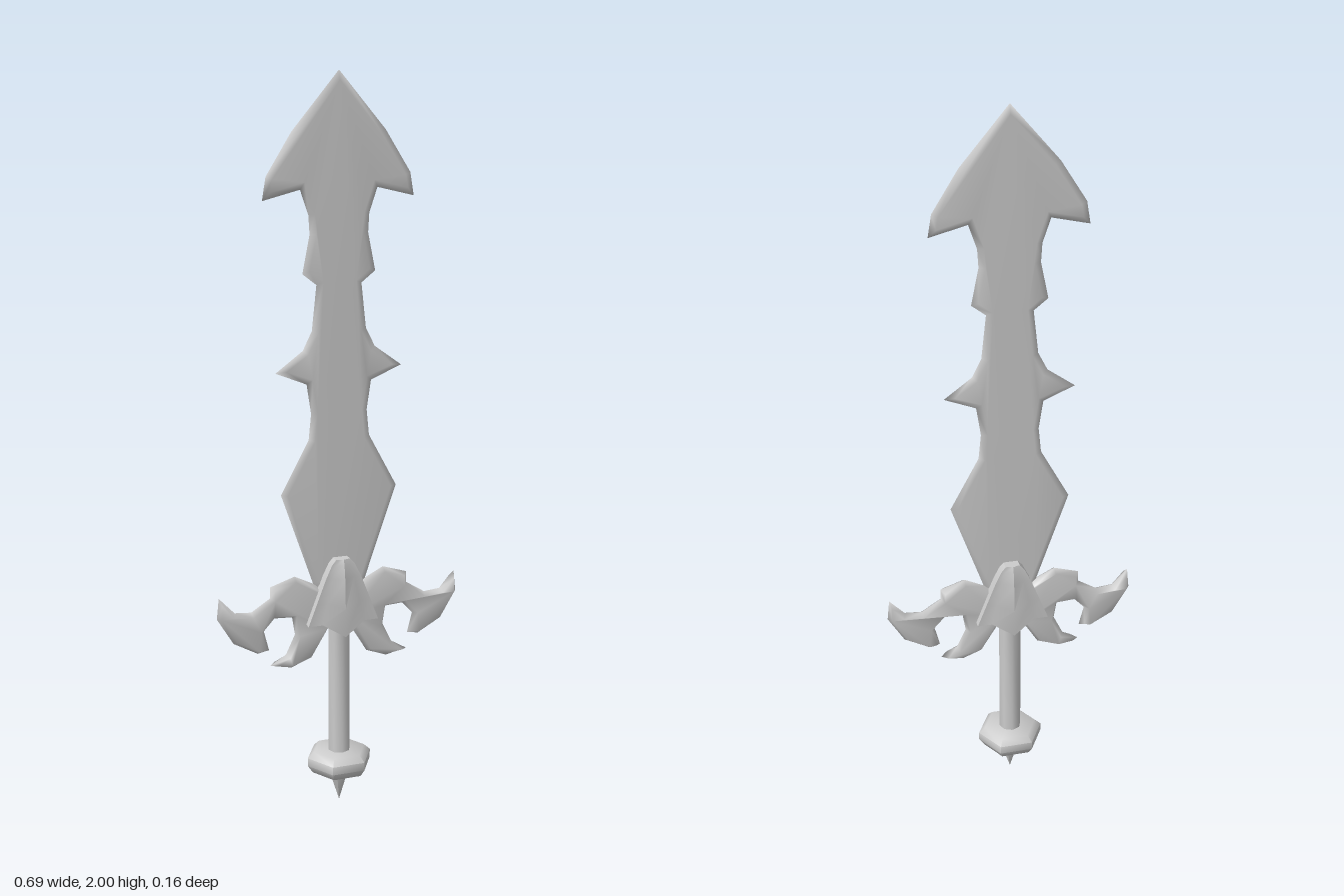
import * as THREE from 'three';
import { toCreasedNormals } from 'three/addons/utils/BufferGeometryUtils.js';

const material = new THREE.MeshStandardMaterial({ color: 0xcccccc, side: THREE.DoubleSide });

function addMesh(parent, name, geometry) {
  const mesh = new THREE.Mesh(geometry, material);
  mesh.name = name;
  parent.add(mesh);
  return mesh;
}

function indexed(positions, index) {
  const g = new THREE.BufferGeometry();
  g.setAttribute('position', new THREE.Float32BufferAttribute(positions, 3));
  g.setIndex(index);
  g.computeVertexNormals();
  return g;
}

// Flat plate with a sharp rim at z = 0 and inset faces at z = +-half
function bevelPlate(outline, inset, half) {
  const pts = outline.map(([x, y]) => new THREE.Vector2(x, y));
  if (THREE.ShapeUtils.isClockWise(pts)) pts.reverse();
  const n = pts.length;
  const inner = pts.map((p, i) => {
    const a = p.clone().sub(pts[(i + n - 1) % n]).normalize();
    const b = pts[(i + 1) % n].clone().sub(p).normalize();
    const normal = new THREE.Vector2(-a.y - b.y, a.x + b.x).normalize();
    const miter = Math.min(1.8, 1 / Math.max(0.1, normal.dot(new THREE.Vector2(-a.y, a.x))));
    return p.clone().addScaledVector(normal, inset * miter);
  });
  const positions = [];
  pts.forEach((p) => positions.push(p.x, p.y, 0));
  inner.forEach((p) => positions.push(p.x, p.y, half));
  inner.forEach((p) => positions.push(p.x, p.y, -half));
  const index = [];
  for (const [a, b, c] of THREE.ShapeUtils.triangulateShape(inner, [])) {
    index.push(n + a, n + b, n + c, 2 * n + a, 2 * n + c, 2 * n + b);
  }
  for (let i = 0; i < n; i++) {
    const j = (i + 1) % n;
    index.push(n + i, i, j, n + i, j, n + j);
    index.push(2 * n + i, j, i, 2 * n + i, 2 * n + j, j);
  }
  return indexed(positions, index);
}

// Six-sided lathe with a corner on each x side
function turned(profile, sides, crease) {
  const g = new THREE.LatheGeometry(profile.map(([r, y]) => new THREE.Vector2(r, y)), sides, Math.PI / 2);
  return toCreasedNormals(g, crease);
}

// Bell-shaped collar lofted from ten-cornered rings
function collarGeometry() {
  // [y at the sides, y at the middle, half width, corner depth, middle depth]
  const rings = [
    [0.54, 0.505, 0.1, 0.037, 0.055],
    [0.6, 0.585, 0.077, 0.037, 0.054],
    [0.67, 0.665, 0.05, 0.037, 0.05],
    [0.705, 0.705, 0.033, 0.035, 0.044],
    [0.72, 0.72, 0.02, 0.033, 0.038],
  ];
  const positions = [], index = [], n = 10;
  for (const [ySide, yMid, w, d, m] of rings) {
    const section = [[w, 0], [w, -d], [0.6 * w, -d], [0, -m], [-0.6 * w, -d],
      [-w, -d], [-w, 0], [-w, d], [-0.6 * w, d], [0, m], [0.6 * w, d], [w, d]];
    section.filter((p) => p[1] !== 0).forEach(([x, z]) => positions.push(x, x === 0 ? yMid : ySide, z));
  }
  for (let r = 0; r < rings.length - 1; r++) {
    for (let i = 0; i < n; i++) {
      const a = r * n + i, b = r * n + (i + 1) % n;
      index.push(a, b, b + n, a, b + n, a + n);
    }
  }
  const top = (rings.length - 1) * n;
  positions.push(0, 0.54, 0, 0, 0.72, 0);
  const low = top + n, high = low + 1;
  for (let i = 0; i < n; i++) {
    const j = (i + 1) % n;
    index.push(low, j, i, high, top + i, top + j);
  }
  return toCreasedNormals(indexed(positions, index), 0.7);
}

export function createModel() {
  const sword = new THREE.Group();
  sword.name = 'sword';

  // Blade: jagged half outline, mirrored
  const half = [
    [0.05, 0.57], [0.075, 0.65], [0.163, 0.905], [0.085, 1.05], [0.078, 1.12], [0.09, 1.2],
    [0.175, 1.235], [0.1, 1.29], [0.075, 1.34], [0.062, 1.46], [0.1, 1.49],
    [0.08, 1.59], [0.083, 1.64], [0.105, 1.705], [0.206, 1.68], [0.196, 1.74], [0.127, 1.85],
  ];
  const bladeOutline = [...half, [0, 2], ...half.map(([x, y]) => [-x, y]).reverse()];
  addMesh(sword, 'blade', bevelPlate(bladeOutline, 0.016, 0.008));

  // Guard: one horned wing on each side
  const wing = [
    [0.02, 0.61], [0.063, 0.643], [0.127, 0.675], [0.196, 0.653], [0.196, 0.622],
    [0.25, 0.588], [0.296, 0.592], [0.339, 0.638], [0.345, 0.58], [0.3, 0.505],
    [0.233, 0.468], [0.201, 0.474], [0.215, 0.53], [0.185, 0.563], [0.135, 0.56],
    [0.127, 0.51], [0.153, 0.455], [0.198, 0.428], [0.138, 0.415], [0.08, 0.437],
    [0.032, 0.516], [0.02, 0.55],
  ];
  for (const [name, side] of [['leftGuard', 1], ['rightGuard', -1]]) {
    addMesh(sword, name, bevelPlate(wing.map(([x, y]) => [side * x, y]), 0.01, 0.017));
  }

  addMesh(sword, 'collar', collarGeometry());

  // Grip
  addMesh(sword, 'grip', turned([[0.031, 0.14], [0.031, 0.58]], 8, 0.9));

  // Pommel and its spike
  addMesh(sword, 'pommel', turned(
    [[0, 0.094], [0.078, 0.094], [0.092, 0.115], [0.092, 0.138], [0.074, 0.155], [0, 0.155]], 6, 1.1));
  addMesh(sword, 'pommelSpike', turned([[0, 0], [0.032, 0.1]], 6, 1.1));

  return sword;
}
